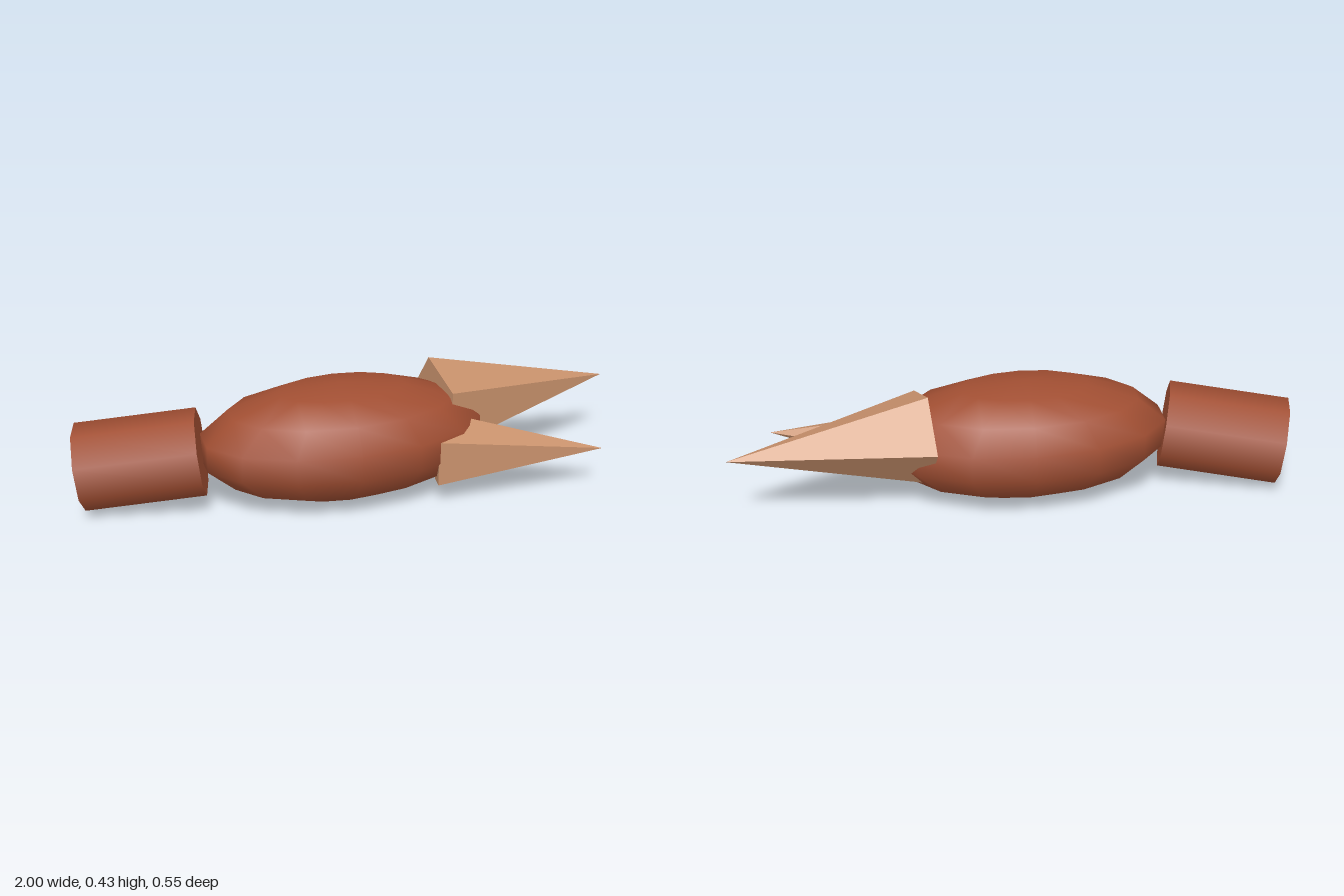
import * as THREE from 'three';

// Places a y-aligned geometry so that it runs from point a to point b,
// keeping its cross-section upright (local z stays horizontal).
function span(name, geometry, material, a, b) {
  const start = new THREE.Vector3(...a);
  const end = new THREE.Vector3(...b);
  const dir = end.clone().sub(start).normalize();
  const side = dir.clone().cross(new THREE.Vector3(0, 1, 0)).normalize();
  const across = dir.clone().cross(side);
  const mesh = new THREE.Mesh(geometry, material);
  mesh.name = name;
  mesh.quaternion.setFromRotationMatrix(new THREE.Matrix4().makeBasis(across, dir, side));
  mesh.position.copy(start).add(end).multiplyScalar(0.5);
  return mesh;
}

function distance(a, b) {
  return new THREE.Vector3(...a).distanceTo(new THREE.Vector3(...b));
}

export function createModel() {
  const shell = new THREE.MeshStandardMaterial({ color: 0xa04e32 });
  shell.name = 'shell brown';
  const horn = new THREE.MeshStandardMaterial({ color: 0xc8916c, flatShading: true });
  horn.name = 'horn tan';

  const claw = new THREE.Group();
  claw.name = 'claw';

  // Smooth, low-poly palm stretched along x
  const palm = new THREE.Mesh(new THREE.SphereGeometry(1, 14, 7).rotateY(Math.PI / 2), shell);
  palm.name = 'palm';
  palm.scale.set(0.52, 0.2115, 0.281);
  palm.position.set(-0.055, 0.2115, 0);
  claw.add(palm);

  // Eight-sided forearm behind the palm
  const armBack = [-0.967, 0.165, -0.105];
  const armFront = [-0.557, 0.217, -0.005];
  const armGeometry = new THREE.CylinderGeometry(
    0.154, 0.154, distance(armBack, armFront), 8, 1, false, Math.PI / 8);
  claw.add(span('forearm', armGeometry, shell, armBack, armFront));

  // Two five-sided pincers, a corner of each base pointing to the back
  const pincers = [
    ['upperPincer', 0.175, [0.305, 0.265, -0.051], [0.99, 0.265, -0.151]],
    ['lowerPincer', 0.14, [0.265, 0.163, 0.103], [0.835, 0.163, 0.246]],
  ];
  for (const [name, radius, base, tip] of pincers) {
    const cone = new THREE.ConeGeometry(radius, distance(base, tip), 5, 1, false, Math.PI);
    claw.add(span(name, cone, horn, base, tip));
  }

  return claw;
}
